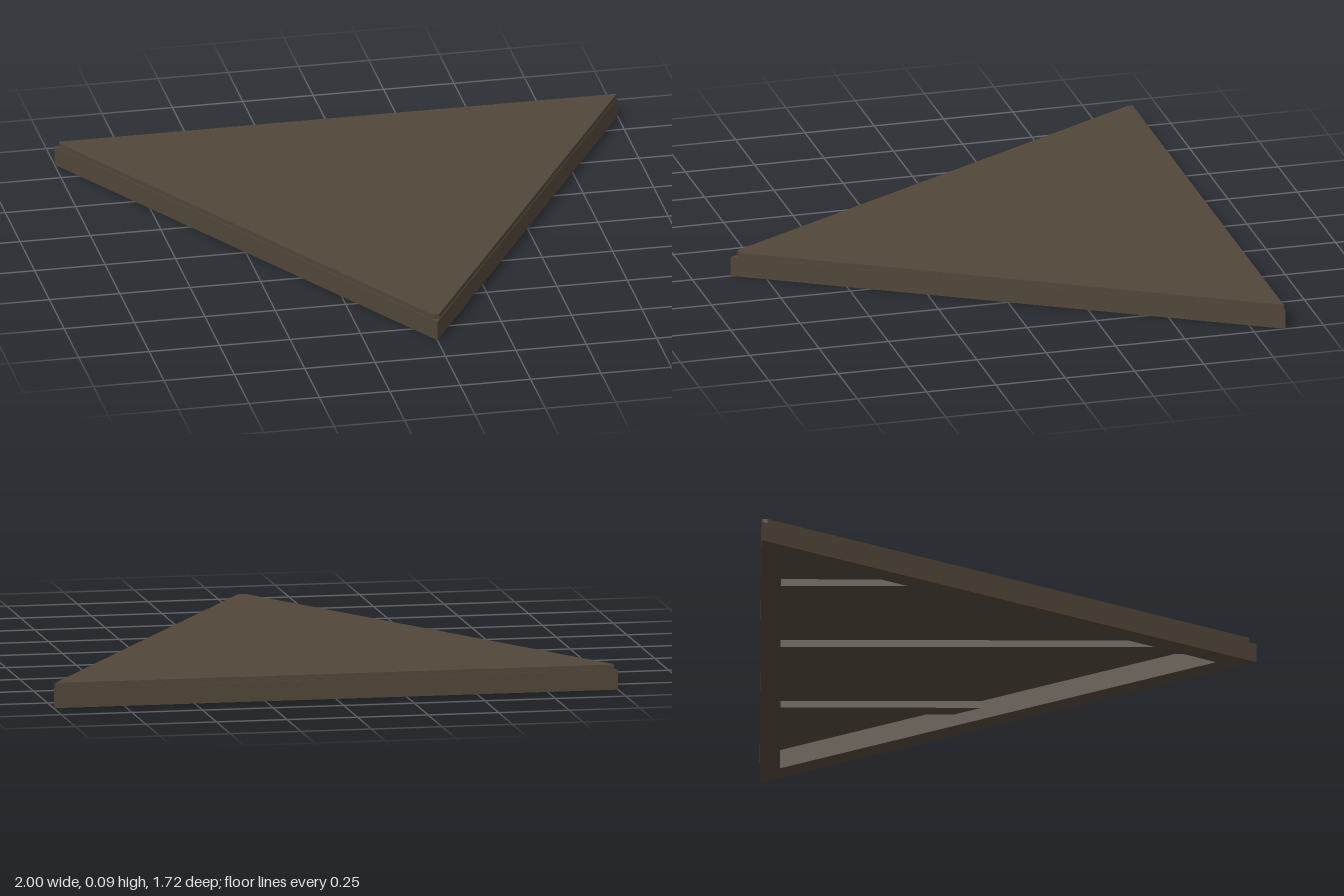
import * as THREE from 'three';

// Flat slab from a counter-clockwise outline of [x, z] points, between heights y0 and y1
function slab(outline, hole, y0, y1) {
  const toPoints = (list) => list.map(([x, z]) => new THREE.Vector2(x, -z));
  const shape = new THREE.Shape(toPoints(outline));
  if (hole) shape.holes.push(new THREE.Path(toPoints(hole)));
  const geo = new THREE.ExtrudeGeometry(shape, { depth: y1 - y0, bevelEnabled: false });
  geo.rotateX(-Math.PI / 2);
  geo.translate(0, y0, 0);
  return geo;
}

export function createModel() {
  const group = new THREE.Group();
  const wood = new THREE.MeshStandardMaterial({ color: 0x514639 });
  wood.name = 'dark wood';

  const add = (name, geo) => {
    const mesh = new THREE.Mesh(geo, wood);
    mesh.name = name;
    group.add(mesh);
    return mesh;
  };

  const frameTop = 0.07;
  const deckTop = 0.088;
  const beamWidth = 0.07;
  const corners = [[0, 0.862], [1, -0.862], [-1, -0.862]];

  // Perimeter beams: a triangular ring, open underneath
  const centreZ = -0.287;
  const inset = 1 - beamWidth / 0.575;
  const inner = corners.map(([x, z]) => [x * inset, centreZ + (z - centreZ) * inset]);
  add('perimeterFrame', slab(corners, inner, 0, frameTop));

  // Deck board with slightly clipped corners, set just inside the beams
  add('deck', slab([
    [-0.012, 0.836], [0.012, 0.836], [0.996, -0.858],
    [-0.985, -0.858], [-0.984, -0.84],
  ], null, frameTop, deckTop));

  // Joists under the deck, running front to back
  const joistHeight = 0.026;
  for (const [name, x, front] of [['rightJoist', -0.5, -0.08], ['middleJoist', 0, 0.73], ['leftJoist', 0.5, -0.08]]) {
    const back = -0.81;
    const joist = add(name, new THREE.BoxGeometry(0.055, joistHeight, front - back));
    joist.position.set(x, frameTop - joistHeight / 2, (front + back) / 2);
  }

  return group;
}
